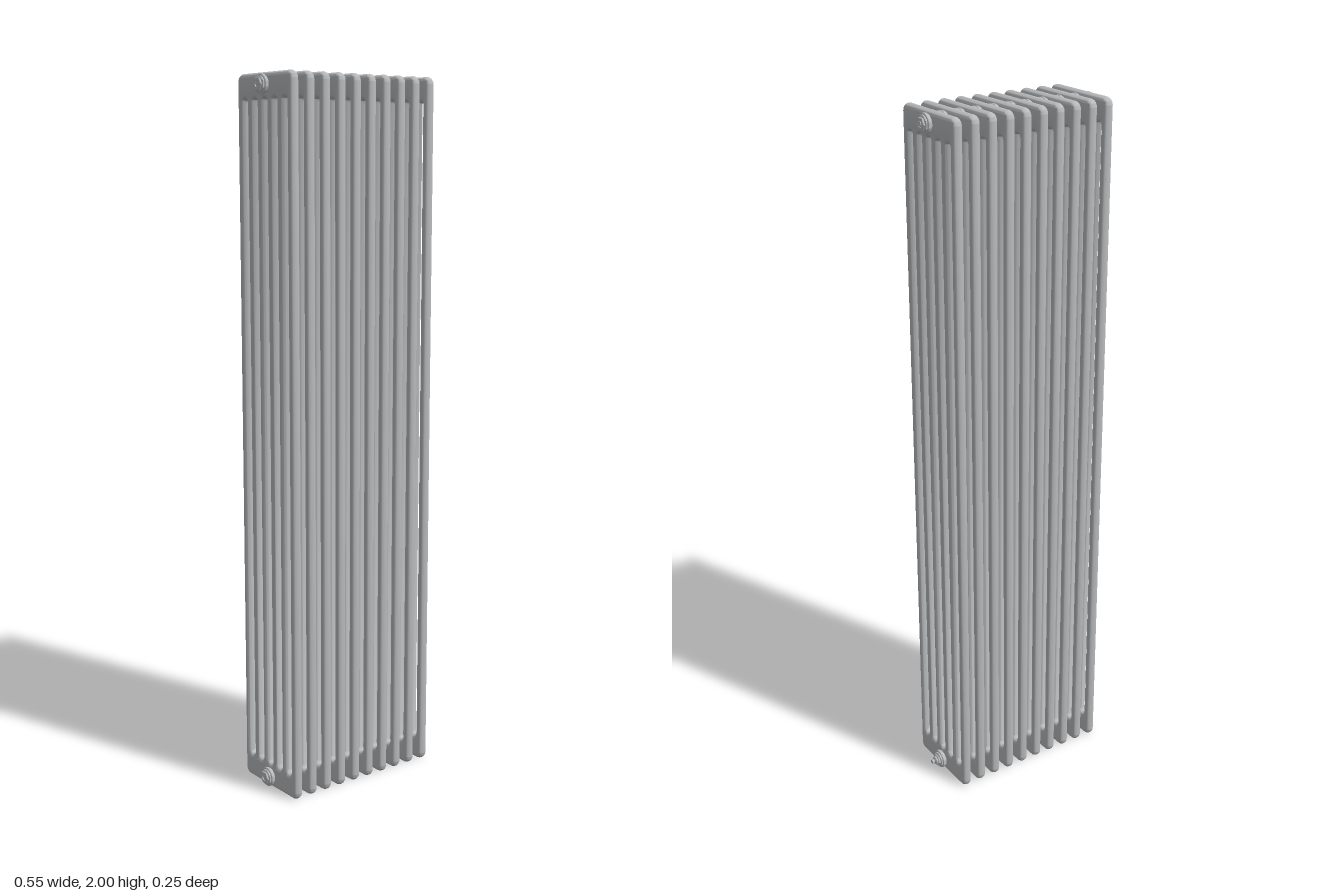
import * as THREE from 'three';
import { toCreasedNormals } from 'three/addons/utils/BufferGeometryUtils.js';

const R = 0.0135;        // tube radius
const INSET = 0.0125;    // bevel that rounds the tubes
const HALF_DEPTH = 0.127;
const COLUMN_PITCH = 0.0454;
const SECTION_PITCH = 0.0513;
const FIRST_X = -0.2393;
const SECTIONS = 10;
const HUB_Y = [0.033, 1.968];

// Rounded rectangle centred on x = 0, between y0 and y1
function roundedRect(path, half, y0, y1, r) {
  path.moveTo(-half + r, y0);
  path.lineTo(half - r, y0);
  path.absarc(half - r, y0 + r, r, -Math.PI / 2, 0, false);
  path.lineTo(half, y1 - r);
  path.absarc(half - r, y1 - r, r, 0, Math.PI / 2, false);
  path.lineTo(-half + r, y1);
  path.absarc(-half + r, y1 - r, r, Math.PI / 2, Math.PI, false);
  path.lineTo(-half, y0 + r);
  path.absarc(-half + r, y0 + r, r, Math.PI, Math.PI * 1.5, false);
  return path;
}

// One section: six round columns joined by a header at top and bottom
function sectionGeometry() {
  const shape = roundedRect(new THREE.Shape(), HALF_DEPTH - INSET, INSET, 2 - INSET, 0.009);
  const slotHalf = COLUMN_PITCH / 2 - R + INSET;
  for (let i = -2; i <= 2; i++) {
    const slot = roundedRect(new THREE.Path(), slotHalf, 0.07 - INSET, 1.933 + INSET, slotHalf - 0.0005);
    const points = slot.getPoints(6).map((p) => new THREE.Vector2(p.x + i * COLUMN_PITCH, p.y));
    shape.holes.push(new THREE.Path(points));
  }
  const depth = 0.001;
  const geometry = new THREE.ExtrudeGeometry(shape, {
    depth, bevelEnabled: true, bevelThickness: R - depth / 2, bevelSize: INSET,
    bevelSegments: 6, curveSegments: 6,
  });
  geometry.translate(0, 0, -depth / 2);
  geometry.rotateY(Math.PI / 2);
  return toCreasedNormals(geometry, 0.6);
}

// Turned part along the x axis from [radius, x] pairs
function turned(profile, sides = 32) {
  const points = profile.map(([r, x]) => new THREE.Vector2(r, x));
  const geometry = new THREE.LatheGeometry(points, sides);
  geometry.rotateZ(-Math.PI / 2);
  return toCreasedNormals(geometry, 0.6);
}

export function createModel() {
  const group = new THREE.Group();
  const paint = new THREE.MeshStandardMaterial({ color: 0xb8babc });
  paint.name = 'grey enamel';

  function add(name, geometry, x, y) {
    const mesh = new THREE.Mesh(geometry, paint);
    mesh.name = name;
    mesh.position.set(x, y, 0);
    group.add(mesh);
    return mesh;
  }

  // Sections and the hubs that join them
  const section = sectionGeometry();
  const h = SECTION_PITCH / 2;
  const side = [[0.022, 0.008], [0.0235, 0.0125], [0.0262, 0.0165], [0.0272, 0.019], [0.0272, h - 0.0015], [0.025, h], [0, h]];
  const hub = turned([...side.map(([r, x]) => [r, -x]).reverse(), ...side]);
  for (let i = 0; i < SECTIONS; i++) {
    const x = FIRST_X + i * SECTION_PITCH;
    add('section', section, x, 0);
    for (const y of HUB_Y) add('hub', hub, x, y);
  }

  // End plugs: round collar, then a hexagonal head
  const leftEnd = FIRST_X - h;
  const rightEnd = FIRST_X + (SECTIONS - 1) * SECTION_PITCH + h;
  const collar = turned([[0, -0.006], [0.0225, -0.006], [0.0225, 0.004], [0.021, 0.005], [0, 0.005]]);
  const head = turned([[0, 0], [0.0185, 0], [0.0185, 0.0085], [0.0165, 0.0098], [0.009, 0.0098], [0.009, 0.007], [0, 0.007]], 6);
  for (const y of HUB_Y) {
    add('leftCollar', collar, leftEnd, y).rotation.y = Math.PI;
    add('leftPlug', head, leftEnd, y).rotation.y = Math.PI;
    add('rightCollar', collar, rightEnd, y);
    add('rightPlug', head, rightEnd, y);
  }

  // Vent on the lower right plug, small screw on the upper one
  const vent = turned([[0, 0], [0.0125, 0], [0.0125, 0.014], [0.0095, 0.0165], [0.006, 0.018], [0.006, 0.0255], [0, 0.0255]], 16);
  add('ventNozzle', vent, rightEnd, HUB_Y[0]);
  const screw = turned([[0, 0], [0.006, 0], [0.006, 0.0105], [0, 0.0105]], 16);
  add('ventScrew', screw, rightEnd, HUB_Y[1]);

  return group;
}
